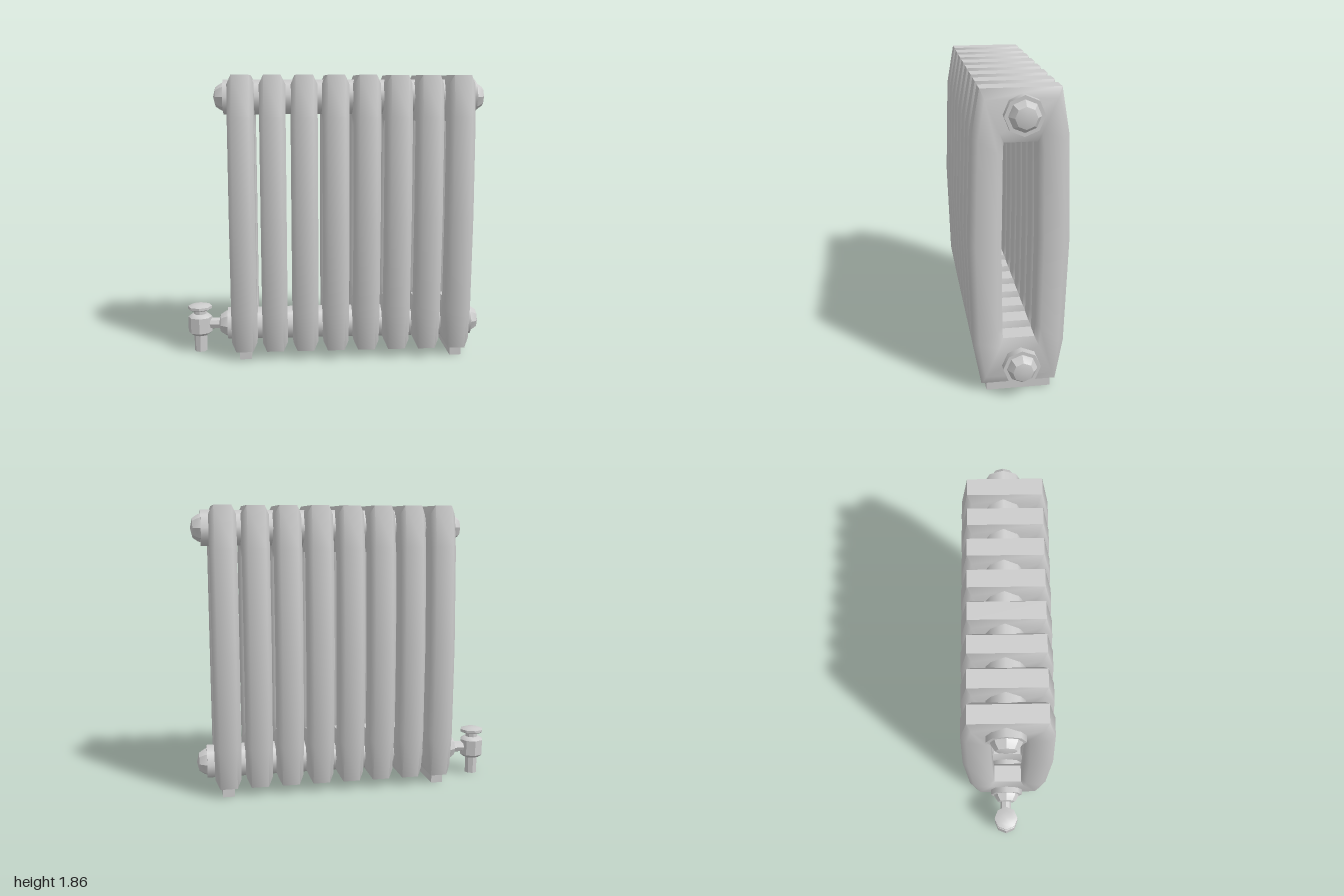
import * as THREE from 'three';
import { toCreasedNormals } from 'three/addons/utils/BufferGeometryUtils.js';

const material = new THREE.MeshStandardMaterial({ color: 0xcccccc });
const AXIS_Z = -0.01;
const TOP_Y = 1.72, BOTTOM_Y = 0.19;

function add(parent, name, geometry, x, y, z) {
  const mesh = new THREE.Mesh(geometry, material);
  mesh.name = name;
  mesh.position.set(x, y, z);
  parent.add(mesh);
  return mesh;
}

// Turned part from [radius, height] pairs, listed bottom to top
function turned(profile, sides = 8, crease = 0.7) {
  const points = profile.map(([r, y]) => new THREE.Vector2(r, y));
  return toCreasedNormals(new THREE.LatheGeometry(points, sides), crease);
}

// Closed radiator column: a bevelled section swept between an outer and an inner outline
function columnGeometry() {
  // [outer z, outer y, inner z, inner y], up the front leg
  const leg = [
    [0.225, 0.06, 0.095, 0.36],
    [0.27, 0.32, 0.098, 0.44],
    [0.29, 0.96, 0.104, 0.96],
    [0.27, 1.6, 0.098, 1.48],
    [0.225, 1.86, 0.095, 1.56],
  ];
  const loop = [...leg, ...leg.slice().reverse().map(([a, b, c, d]) => [-a, b, -c, d])];
  // [x, fraction from outer to inner outline]
  const side = [[0.055, 0], [0.083, 0.19], [0.083, 0.82], [0.058, 1]];
  const section = [...side, ...side.slice().reverse().map(([x, t]) => [-x, t])];
  const positions = [], index = [];
  const n = loop.length, m = section.length;
  loop.forEach(([oz, oy, iz, iy], i) => {
    section.forEach(([x, t], j) => {
      positions.push(x, oy + (iy - oy) * t, oz + (iz - oz) * t);
      const j2 = (j + 1) % m, i2 = (i + 1) % n;
      const a = i * m + j, b = i * m + j2, c = i2 * m + j, d = i2 * m + j2;
      index.push(a, b, c, b, d, c);
    });
  });
  const geometry = new THREE.BufferGeometry();
  geometry.setAttribute('position', new THREE.Float32BufferAttribute(positions, 3));
  geometry.setIndex(index);
  return toCreasedNormals(geometry, 0.96);
}

export function createModel() {
  const model = new THREE.Group();
  model.name = 'radiator';

  // Eight columns
  const column = columnGeometry();
  for (let i = 0; i < 8; i++) {
    add(model, 'column', column, -0.61 + i * 0.2014, 0, 0);
  }

  // Header pipes with an end plug on each side
  const pipe = turned([[0, -0.83], [0.113, -0.83], [0.113, 0.83], [0, 0.83]], 8, 0.9);
  const plug = turned([[0.092, 0], [0.086, 0.02], [0.062, 0.055], [0, 0.07]], 8, 0.6);
  for (const y of [TOP_Y, BOTTOM_Y]) {
    add(model, 'headerPipe', pipe, 0.1, y, AXIS_Z).rotation.z = Math.PI / 2;
    add(model, 'leftPlug', plug, 0.925, y, AXIS_Z).rotation.z = -Math.PI / 2;
    add(model, 'rightPlug', plug, -0.725, y, AXIS_Z).rotation.z = Math.PI / 2;
  }

  // Feet under the end columns
  for (const x of [-0.605, 0.8]) {
    add(model, 'foot', new THREE.BoxGeometry(0.076, 0.12, 0.39), x, 0.06, -0.003);
  }

  // Valve on the lower right end
  const valve = new THREE.Group();
  valve.name = 'valve';
  valve.position.set(-0.92, 0, -0.015);
  model.add(valve);
  add(valve, 'supplyPipe', turned([[0, 0], [0.043, 0], [0.043, 0.14], [0, 0.14]]), 0, 0, 0);
  add(valve, 'valveBody', turned([
    [0, 0.115], [0.055, 0.115], [0.081, 0.135], [0.081, 0.24], [0.055, 0.26], [0, 0.26],
  ]), 0, 0, 0);
  add(valve, 'valveStem', turned([[0.042, 0.25], [0.042, 0.3]]), 0, 0, 0);
  add(valve, 'valveHandle', turned([
    [0, 0.29], [0.07, 0.29], [0.081, 0.297], [0.081, 0.314], [0.05, 0.325], [0, 0.33],
  ]), 0, 0, 0);
  add(valve, 'connector', turned([[0.038, -0.08], [0.038, 0.08]]), 0.11, BOTTOM_Y, 0)
    .rotation.z = Math.PI / 2;

  return model;
}
